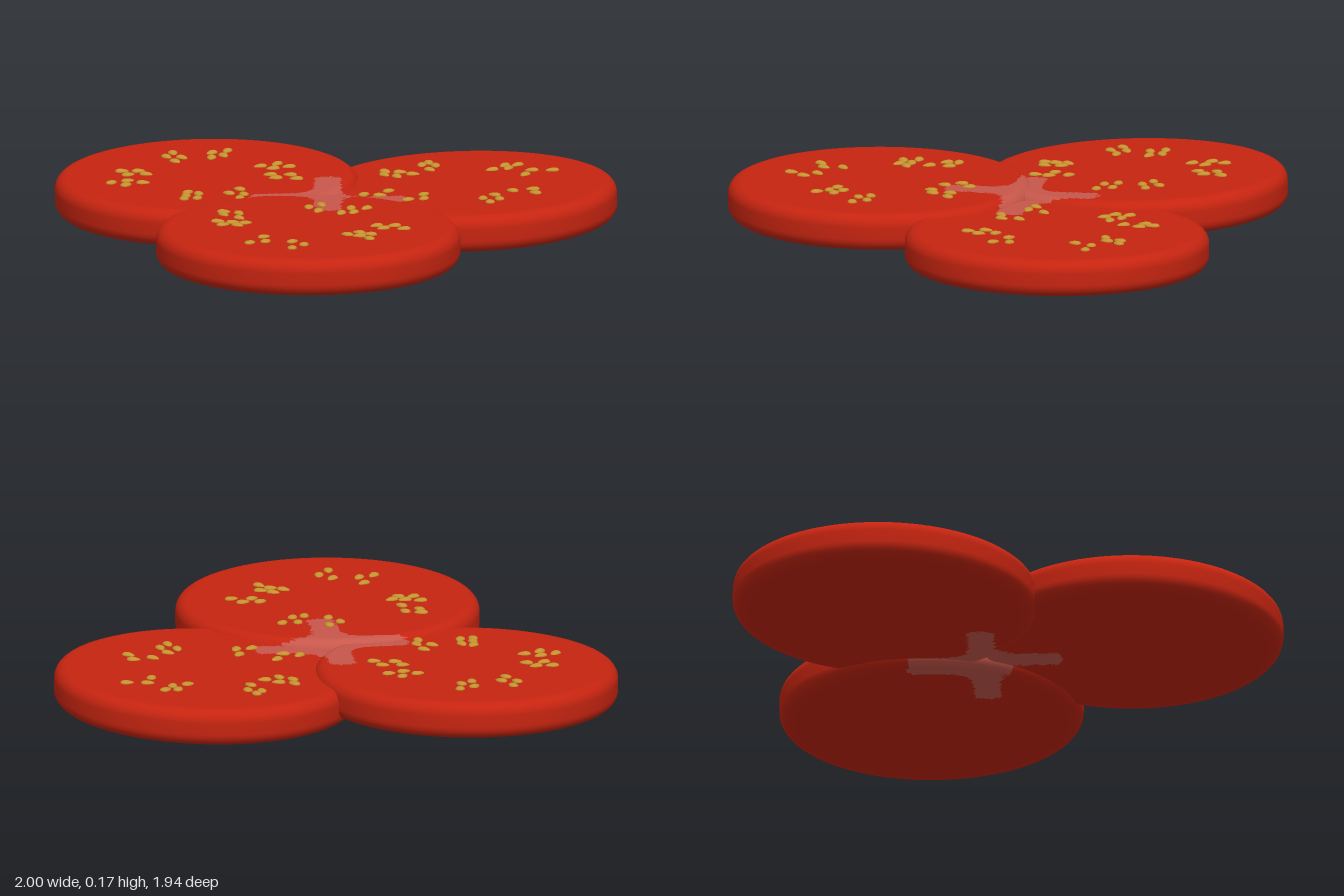
import * as THREE from 'three';

const skin = new THREE.MeshStandardMaterial({ color: 0xc62410 });
skin.name = 'tomato red';
const pale = new THREE.MeshStandardMaterial({ color: 0xc8574b });
pale.name = 'pale core';
const gold = new THREE.MeshStandardMaterial({ color: 0xc4922f });
gold.name = 'seed gold';

const RADIUS = 0.54, HALF = 0.066, CORNER = 0.045;

// small seeded generator for scattering the seeds
let state = 7;
const jitter = (size) => {
  state = (state * 16807) % 2147483647;
  return (state / 2147483647 - 0.5) * 2 * size;
};

// pale four-armed core where the slices meet
function inCore(x, z) {
  const dx = Math.abs(x + 0.03), dz = Math.abs(z + 0.1);
  const along = Math.max(dx, dz), across = Math.min(dx, dz);
  const width = 0.047 + 0.05 * Math.exp(-((along / 0.08) ** 2));
  return across < width && along < 0.277 - 6 * across * across;
}

// flat disc with a rounded rim, its triangles sorted into red and pale
function sliceGeometry(cx, cz) {
  const profile = [], rings = 54, inner = RADIUS - CORNER;
  for (let i = 0; i < rings; i++) profile.push(new THREE.Vector2(inner * i / rings, -HALF));
  for (const side of [-1, 1]) {
    for (let i = 0; i <= 6; i++) {
      const a = (i / 6 + (side - 1) / 2) * Math.PI / 2;
      profile.push(new THREE.Vector2(inner + CORNER * Math.cos(a), side * (HALF - CORNER) + CORNER * Math.sin(a)));
    }
  }
  for (let i = rings - 1; i >= 0; i--) profile.push(new THREE.Vector2(inner * i / rings, HALF));

  const geo = new THREE.LatheGeometry(profile, 120);
  const pos = geo.attributes.position, index = geo.index.array;
  const red = [], core = [];
  for (let i = 0; i < index.length; i += 3) {
    const tri = [index[i], index[i + 1], index[i + 2]];
    const x = tri.reduce((sum, v) => sum + pos.getX(v), 0) / 3 + cx;
    const z = tri.reduce((sum, v) => sum + pos.getZ(v), 0) / 3 + cz;
    (inCore(x, z) ? core : red).push(...tri);
  }
  geo.setIndex(red.concat(core));
  geo.addGroup(0, red.length, 0);
  geo.addGroup(red.length, core.length, 1);
  return geo;
}

// flattened teardrop seed, pointed along +x
function seedGeometry() {
  const geo = new THREE.SphereGeometry(1, 14, 10);
  const pos = geo.attributes.position;
  for (let i = 0; i < pos.count; i++) {
    const x = pos.getX(i), taper = 1 - 0.28 * x;
    pos.setXYZ(i, x * 0.025, pos.getY(i) * 0.009 * taper, pos.getZ(i) * 0.0165 * taper);
  }
  geo.computeVertexNormals();
  return geo;
}

// a few seeds side by side in two rows, pointing roughly along the radius
function seedCluster(shape, x, z, count) {
  const cluster = new THREE.Group();
  cluster.name = 'seedCluster';
  cluster.position.set(x, HALF + 0.001, z);
  cluster.rotation.y = Math.atan2(z, -x);
  for (let i = 0; i < count; i++) {
    const seed = new THREE.Mesh(shape, gold);
    seed.name = 'seed';
    const along = (i / (count - 1) - 0.5) * 0.1;
    seed.position.set(along + jitter(0.008), 0, (i % 2 ? 0.022 : -0.022) + jitter(0.008));
    seed.rotation.y = jitter(0.6);
    cluster.add(seed);
  }
  return cluster;
}

// one slice: centre, slopes along x and z, and a list of seed clusters (x, z, count)
function makeSlice(name, [cx, cy, cz], slopeX, slopeZ, seedShape, clusters) {
  const slice = new THREE.Group();
  slice.name = name;
  slice.position.set(cx, cy, cz);
  slice.rotation.set(-slopeZ, 0, slopeX);
  const flesh = new THREE.Mesh(sliceGeometry(cx, cz), [skin, pale]);
  flesh.name = 'flesh';
  slice.add(flesh);
  for (const [x, z, count] of clusters) slice.add(seedCluster(seedShape, x - cx, z - cz, count));
  return slice;
}

export function createModel() {
  const model = new THREE.Group();
  model.name = 'tomatoSlices';
  const seed = seedGeometry();
  model.add(
    makeSlice('backRightSlice', [-0.46, 0.092, -0.43], 0.013, -0.024, seed, [
      [-0.57, -0.67, 4], [-0.42, -0.71, 4], [-0.72, -0.46, 4], [-0.74, -0.32, 4],
      [-0.22, -0.53, 4], [-0.19, -0.38, 4], [-0.51, -0.13, 5], [-0.35, -0.15, 4]]),
    makeSlice('leftSlice', [0.455, 0.087, -0.315], 0.028, 0, seed, [
      [0.33, -0.59, 4], [0.21, -0.48, 5], [0.6, -0.54, 4], [0.71, -0.46, 3],
      [0.68, -0.17, 3], [0.55, -0.06, 4], [0.15, -0.18, 3], [0.3, -0.1, 3]]),
    makeSlice('frontSlice', [-0.1, 0.102, 0.425], 0.002, 0, seed, [
      [-0.08, 0.14, 3], [0.06, 0.18, 4], [-0.37, 0.24, 4], [-0.37, 0.38, 5],
      [-0.26, 0.64, 3], [-0.13, 0.71, 3], [0.09, 0.56, 5], [0.19, 0.44, 4]]),
  );
  return model;
}
